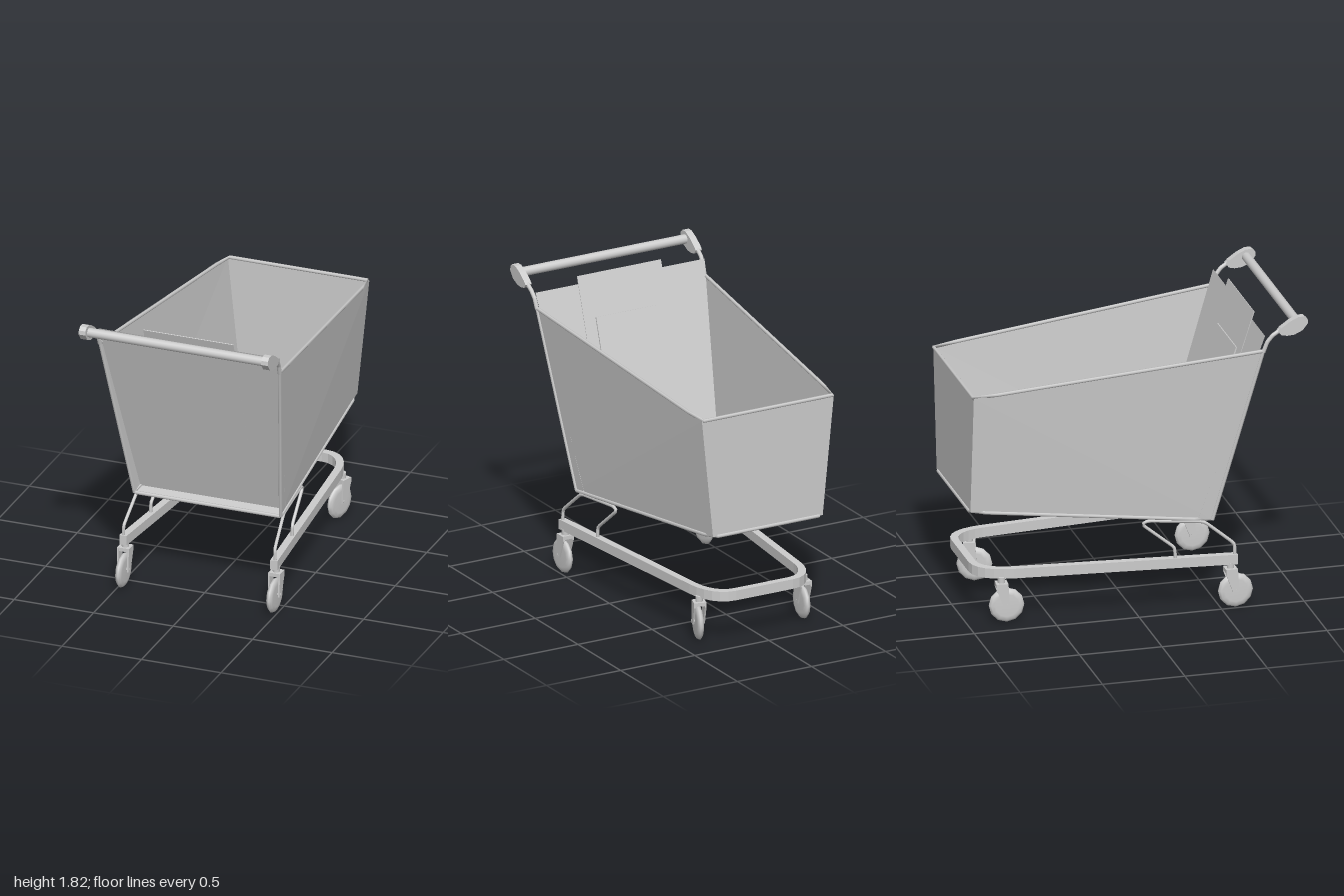
import * as THREE from 'three';

const grey = new THREE.MeshStandardMaterial({ color: 0xcccccc });
const thin = new THREE.MeshStandardMaterial({ color: 0xcccccc, side: THREE.DoubleSide });
const V = (x, y, z) => new THREE.Vector3(x, y, z);

function add(parent, name, geometry, material = grey) {
  const mesh = new THREE.Mesh(geometry, material);
  mesh.name = name;
  parent.add(mesh);
  return mesh;
}

// thin four-cornered sheet
function sheet(a, b, c, d) {
  const g = new THREE.BufferGeometry().setFromPoints([a, b, c, a, c, d]);
  g.computeVertexNormals();
  return g;
}

// straight-segmented wire through the given points
function wire(points, radius = 0.011) {
  const path = new THREE.CurvePath();
  for (let i = 1; i < points.length; i++) path.add(new THREE.LineCurve3(points[i - 1], points[i]));
  return new THREE.TubeGeometry(path, (points.length - 1) * 10, radius, 6);
}

// bent wire with softened corners
function bentWire(points, radius) {
  const path = new THREE.CatmullRomCurve3(points, false, 'catmullrom', 0.15);
  return new THREE.TubeGeometry(path, points.length * 5, radius, 8);
}

// outline in the side plane (z, y), extruded along x and centred on it
function sideExtrude(outline, width) {
  const shape = new THREE.Shape(outline.map(([z, y]) => new THREE.Vector2(-z, y)));
  const g = new THREE.ExtrudeGeometry(shape, { depth: width, bevelEnabled: false });
  return g.translate(0, 0, -width / 2).rotateY(Math.PI / 2);
}

function createBasket() {
  const basket = new THREE.Group();
  basket.name = 'basket';
  const corners = (s) => ({
    nearTop: V(s * 0.565, 1.615, 0.735), nearBottom: V(s * 0.46, 0.55, 0.455),
    farTop: V(s * 0.445, 1.447, -0.988), farBottom: V(s * 0.37, 0.71, -0.988),
  });
  const L = corners(1), R = corners(-1);
  add(basket, 'floor', sheet(L.nearBottom, R.nearBottom, R.farBottom, L.farBottom), thin);
  add(basket, 'farWall', sheet(L.farBottom, R.farBottom, R.farTop, L.farTop), thin);
  for (const c of [L, R]) {
    add(basket, 'sideWall', sheet(c.nearBottom, c.farBottom, c.farTop, c.nearTop), thin);
    add(basket, 'nearEdgeWire', wire([c.nearBottom, c.nearTop]));
  }
  add(basket, 'topRim', wire([L.nearTop, L.farTop, R.farTop, R.nearTop]));
  add(basket, 'bottomRim', wire([L.nearBottom, L.farBottom, R.farBottom, R.nearBottom, L.nearBottom]));

  // leaning gate with folded seat panel and small flap
  const slope = 0.325, tilt = Math.atan(slope);
  const gateZ = (y) => 0.37 + (y - 0.56) * slope;
  const low = 0.56, high = 1.71;
  add(basket, 'gate', sheet(V(-0.457, low, gateZ(low)), V(0.457, low, gateZ(low)),
    V(0.57, high, gateZ(high)), V(-0.57, high, gateZ(high))), thin);
  const onGate = (name, width, y0, y1, thickness, offset) => {
    const y = (y0 + y1) / 2;
    const m = add(basket, name, new THREE.BoxGeometry(width, (y1 - y0) / Math.cos(tilt), thickness));
    m.position.set(0, y + offset * Math.sin(tilt), gateZ(y) - offset * Math.cos(tilt));
    m.rotation.x = tilt;
  };
  onGate('seatPanel', 0.565, 0.96, 1.755, 0.005, 0.001);
  onGate('seatFlap', 0.41, 1.2, 1.51, 0.012, 0.006);
  return basket;
}

function createHandle() {
  const handle = new THREE.Group();
  handle.name = 'handle';
  const bar = add(handle, 'handleBar', new THREE.CylinderGeometry(0.028, 0.028, 1.12, 16).rotateZ(Math.PI / 2));
  bar.position.set(0, 1.772, 0.942);
  const cap = [[0.998, 1.775], [0.995, 1.80], [0.975, 1.818], [0.94, 1.818], [0.89, 1.795],
    [0.835, 1.757], [0.818, 1.738], [0.835, 1.715], [0.87, 1.707], [0.915, 1.71], [0.965, 1.733]];
  for (const s of [1, -1]) {
    add(handle, 'handleCap', sideExtrude(cap, 0.042)).position.x = s * 0.574;
    add(handle, 'handlePost', bentWire([V(s * 0.565, 1.61, 0.735), V(s * 0.568, 1.67, 0.758),
      V(s * 0.572, 1.71, 0.79), V(s * 0.574, 1.74, 0.835)], 0.013));
  }
  return handle;
}

// U-shaped rail, tapering towards the rounded far end
function createRail() {
  const s = new THREE.Shape();
  s.moveTo(0.497, 0.6);
  s.lineTo(0.373, -0.72);
  s.bezierCurveTo(0.36, -0.85, 0.3, -0.95, 0.19, -0.95);
  s.lineTo(-0.19, -0.95);
  s.bezierCurveTo(-0.3, -0.95, -0.36, -0.85, -0.373, -0.72);
  s.lineTo(-0.497, 0.6);
  s.lineTo(-0.452, 0.6);
  s.lineTo(-0.328, -0.72);
  s.bezierCurveTo(-0.318, -0.82, -0.27, -0.905, -0.18, -0.905);
  s.lineTo(0.18, -0.905);
  s.bezierCurveTo(0.27, -0.905, 0.318, -0.82, 0.328, -0.72);
  s.lineTo(0.452, 0.6);
  const g = new THREE.ExtrudeGeometry(s, { depth: 0.06, bevelEnabled: false, curveSegments: 6 });
  return g.rotateX(Math.PI / 2).translate(0, 0.33, 0);
}

// swivelling wheel; its origin is the stem, the wheel trails in +z
function createCaster(x, z, yaw) {
  const caster = new THREE.Group();
  caster.name = 'caster';
  const profile = [[0, -0.02], [0.07, -0.02], [0.092, -0.016], [0.105, -0.005],
    [0.105, 0.005], [0.092, 0.016], [0.07, 0.02], [0, 0.02]].map((p) => new THREE.Vector2(...p));
  const wheel = add(caster, 'wheel', new THREE.LatheGeometry(profile, 12).rotateZ(Math.PI / 2));
  wheel.position.set(0, 0.105, 0.03);
  const arm = [[-0.035, 0.245], [-0.035, 0.215], [0.008, 0.1], [0.045, 0.1], [0.036, 0.245]];
  for (const s of [1, -1]) add(caster, 'forkArm', sideExtrude(arm, 0.01)).position.x = s * 0.032;
  add(caster, 'forkCrown', new THREE.BoxGeometry(0.074, 0.022, 0.071)).position.set(0, 0.235, 0);
  add(caster, 'stem', new THREE.CylinderGeometry(0.022, 0.022, 0.04, 10)).position.y = 0.26;
  add(caster, 'axle', new THREE.CylinderGeometry(0.01, 0.01, 0.078, 8).rotateZ(Math.PI / 2))
    .position.set(0, 0.112, 0.028);
  caster.position.set(x, 0, z);
  caster.rotation.y = yaw;
  return caster;
}

export function createModel() {
  const model = new THREE.Group();
  model.name = 'shoppingCart';
  model.add(createBasket(), createHandle());
  add(model, 'baseRail', createRail());

  for (const s of [1, -1]) {
    // wire loop carrying the basket on the rail
    add(model, 'supportLoop', bentWire([V(s * 0.478, 0.32, 0.585), V(s * 0.475, 0.385, 0.585),
      V(s * 0.472, 0.41, 0.565), V(s * 0.46, 0.53, 0.42), V(s * 0.455, 0.545, 0.38),
      V(s * 0.435, 0.57, 0.08), V(s * 0.432, 0.56, 0.045), V(s * 0.432, 0.54, 0.05),
      V(s * 0.442, 0.405, 0.215), V(s * 0.445, 0.385, 0.23), V(s * 0.445, 0.32, 0.235)], 0.01));
    model.add(createCaster(s * 0.475, 0.56, 0));
    model.add(createCaster(s * 0.353, -0.795, s > 0 ? -0.3 : -0.1));
  }
  return model;
}
